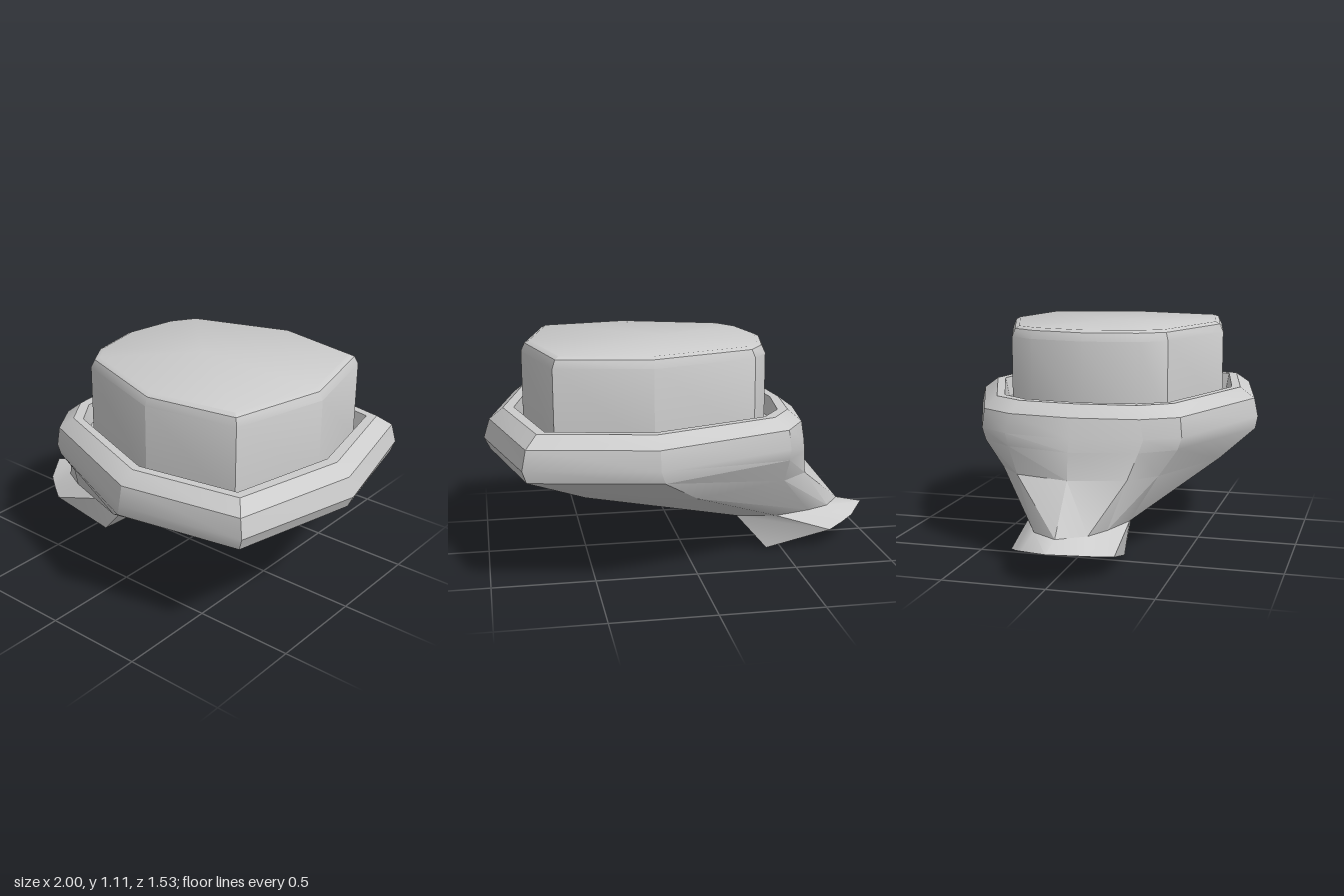
import * as THREE from 'three';
import { toCreasedNormals } from 'three/addons/utils/BufferGeometryUtils.js';

// Half outline [x, y, z], from the +x tip round to the -x end; mirrored across z.
const ring = (half) => [...half, ...half.slice(1, -1).reverse().map(([x, y, z]) => [x, y, -z])];
const level = (y, half) => ring(half.map(([x, z]) => [x, y, z]));

// Skin a stack of rings from bottom to top, optionally closing the ends.
function loft(rings, { bottom = false, top = false, dome = 0 } = {}) {
  const n = rings[0].length;
  const pos = rings.flat(2);
  const index = [];
  for (let i = 0; i < rings.length - 1; i++) {
    for (let j = 0; j < n; j++) {
      const k = (j + 1) % n;
      const a = i * n + j, b = i * n + k, c = b + n, d = a + n;
      index.push(a, d, c, a, c, b);
    }
  }
  const cap = (r, up) => {
    const centre = pos.length / 3;
    const mid = [0, 1, 2].map((c) => rings[r].reduce((s, p) => s + p[c], 0) / n);
    pos.push(mid[0], mid[1] + (up ? dome : 0), mid[2]);
    for (let j = 0; j < n; j++) {
      const a = r * n + j, b = r * n + (j + 1) % n;
      index.push(centre, up ? b : a, up ? a : b);
    }
  };
  if (bottom) cap(0, false);
  if (top) cap(rings.length - 1, true);
  const geo = new THREE.BufferGeometry();
  geo.setAttribute('position', new THREE.Float32BufferAttribute(pos, 3));
  geo.setIndex(index);
  return toCreasedNormals(geo, 0.5);
}

export function createModel() {
  const model = new THREE.Group();
  model.name = 'model';
  const material = new THREE.MeshStandardMaterial({ color: 0xcccccc });
  const add = (name, geo) => {
    const mesh = new THREE.Mesh(geo, material);
    mesh.name = name;
    model.add(mesh);
  };

  // Spout: slanted open foot below the neck
  const neck = level(0.19, [[-0.26, 0], [-0.26, 0.215], [-0.46, 0.25], [-0.65, 0.19], [-0.77, 0.13], [-0.86, 0]]);
  const foot = ring([[-0.41, 0, 0], [-0.42, 0.005, 0.215], [-0.75, 0.095, 0.25],
    [-0.83, 0.115, 0.2], [-0.9, 0.135, 0.15], [-1, 0.16, 0]]);
  add('spout', loft([foot, neck], { bottom: true }));

  // Housing: flares from the neck up to a bevelled rim, then drops into a groove
  add('housing', loft([
    neck,
    level(0.42, [[0.72, 0], [0.54, 0.49], [0.02, 0.6], [-0.46, 0.39], [-0.6, 0.27], [-0.67, 0]]),
    level(0.55, [[0.97, 0], [0.82, 0.635], [0.2, 0.755], [-0.46, 0.48], [-0.58, 0.32], [-0.655, 0]]),
    level(0.61, [[1, 0], [0.84, 0.645], [0.22, 0.765], [-0.46, 0.5], [-0.57, 0.34], [-0.635, 0]]),
    level(0.705, [[0.97, 0], [0.82, 0.63], [0.22, 0.745], [-0.45, 0.49], [-0.56, 0.32], [-0.6, 0]]),
    level(0.76, [[0.9, 0], [0.765, 0.565], [0.22, 0.67], [-0.39, 0.445], [-0.495, 0.29], [-0.525, 0]]),
    level(0.76, [[0.845, 0], [0.725, 0.53], [0.22, 0.625], [-0.345, 0.42], [-0.445, 0.28], [-0.48, 0]]),
    level(0.66, [[0.83, 0], [0.71, 0.515], [0.22, 0.605], [-0.33, 0.41], [-0.43, 0.275], [-0.465, 0]]),
  ], { top: true }));

  // Plug: straight-sided block with a chamfered, faintly domed top
  const outline = [[0.8, 0], [0.68, 0.49], [0.22, 0.575], [-0.3, 0.395], [-0.38, 0.27], [-0.43, 0]];
  const plugRing = (y, s) => level(y, outline.map(([x, z]) => [0.2 + (x - 0.2) * s, z * s]));
  add('plug', loft([plugRing(0.65, 1), plugRing(1.045, 1), plugRing(1.085, 0.97), plugRing(1.097, 0.93)],
    { top: true, dome: 0.008 }));

  return model;
}
